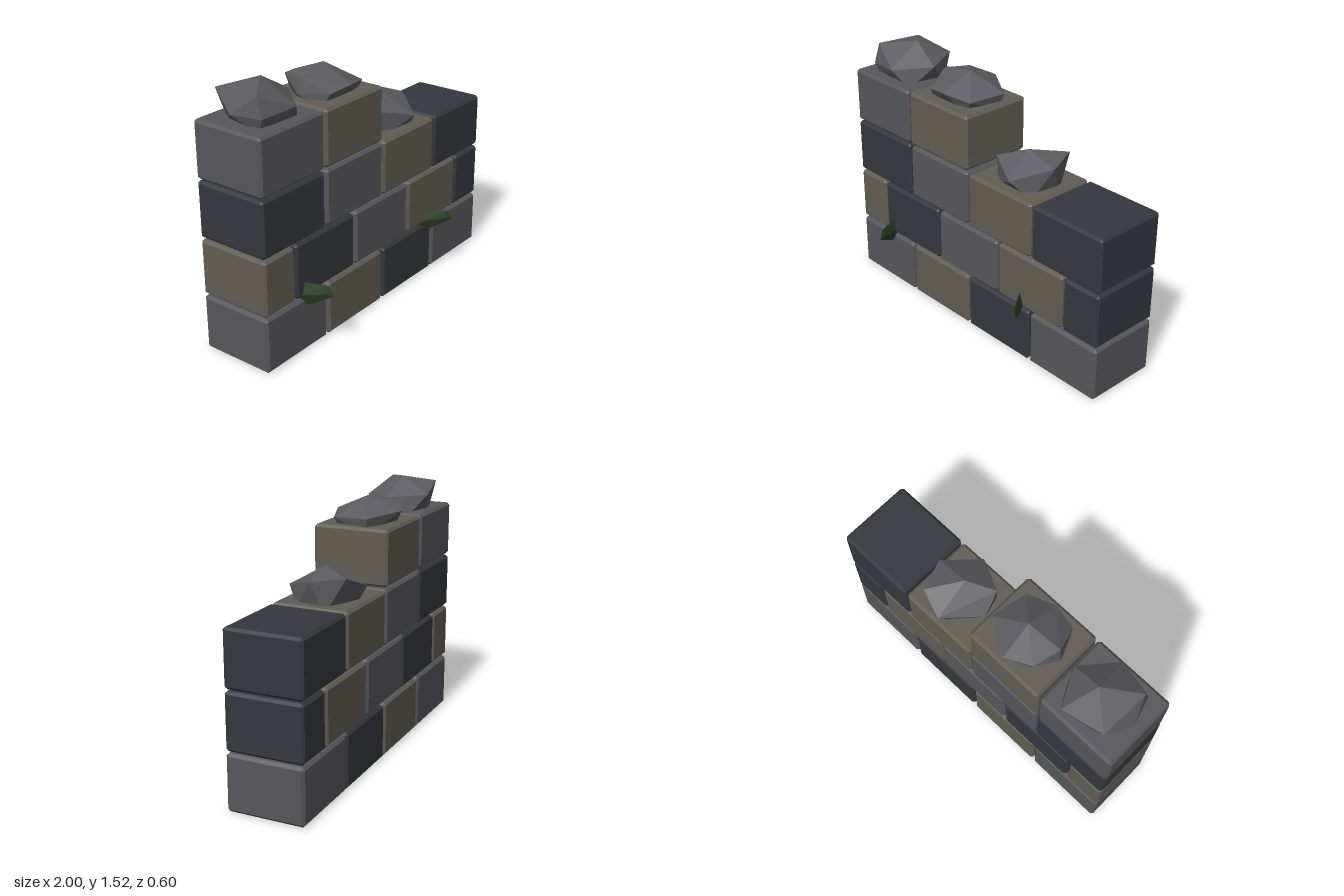
import * as THREE from 'three';
import { ConvexGeometry } from 'three/addons/geometries/ConvexGeometry.js';

const material = (color) => new THREE.MeshStandardMaterial({ color, flatShading: true });

// Convex faceted solid from a few corner points
function hull(name, points, mat) {
  const mesh = new THREE.Mesh(new ConvexGeometry(points.map((p) => new THREE.Vector3(...p))), mat);
  mesh.name = name;
  return mesh;
}

// Box with all edges chamfered: each corner is cut into three points
function chamferedBox(name, w, h, d, c, mat) {
  const points = [];
  for (const x of [-1, 1]) for (const y of [-1, 1]) for (const z of [-1, 1]) {
    for (let axis = 0; axis < 3; axis++) {
      points.push([w, h, d].map((s, i) => [x, y, z][i] * (s / 2 - (i === axis ? 0 : c))));
    }
  }
  return hull(name, points, mat);
}

export function createModel() {
  const model = new THREE.Group();
  model.name = 'ruinedWall';

  const stone = { g: material(0x57565c), b: material(0x625d53), d: material(0x36373e) };
  const rubbleMat = material(0x5a5a60);
  const leafMat = material(0x2a3d22);

  // Courses of bricks: [left edge, right edge, stone tone]
  const WALL_Z = -0.08, DEPTH = 0.45, PITCH = 0.335, HEIGHT = 0.325;
  const even = (tones) => [...tones].map((t, i) => [-1 + i * 0.503, -0.509 + i * 0.503, t]);
  const courses = [
    even('gbdg'),
    [[-1, -0.765, 'b'], [-0.755, -0.264, 'd'], [-0.252, 0.239, 'g'], [0.251, 0.742, 'b'], [0.752, 1, 'd']],
    even('dgbd'),
    even('gb'),
  ];
  courses.forEach((course, row) => {
    const group = new THREE.Group();
    group.name = `course${row + 1}`;
    for (const [x0, x1, tone] of course) {
      const brick = chamferedBox('brick', x1 - x0, HEIGHT, DEPTH, 0.015, stone[tone]);
      brick.position.set((x0 + x1) / 2, row * PITCH + HEIGHT / 2, WALL_Z);
      group.add(brick);
    }
    model.add(group);
  });

  // Rubble lumps on the broken top, sunk a little into the bricks
  const lumps = [
    [[-0.71, 1.524, -0.1], [-0.885, 1.48, -0.25], [-0.895, 1.495, 0.04], [-0.69, 1.4, 0.115], [-0.53, 1.415, -0.075],
      [-0.64, 1.43, -0.29], [-0.95, 1.385, -0.09], [-0.9, 1.38, 0.075],
      [-0.88, 1.29, 0.04], [-0.61, 1.29, 0.05], [-0.57, 1.29, -0.18], [-0.83, 1.29, -0.22]],
    [[-0.227, 1.478, -0.09], [-0.39, 1.43, -0.225], [-0.43, 1.444, -0.07], [-0.24, 1.4, -0.29], [-0.035, 1.375, -0.166],
      [-0.075, 1.365, 0.053], [-0.24, 1.39, 0.107], [-0.38, 1.37, 0.08], [-0.452, 1.355, -0.086],
      [-0.4, 1.28, 0.03], [-0.12, 1.28, 0.03], [-0.06, 1.28, -0.15], [-0.35, 1.28, -0.2]],
    [[0.265, 1.172, -0.065], [0.4, 1.145, -0.25], [0.468, 1.123, -0.064], [0.318, 1.06, 0.13], [0.115, 1.115, 0.03],
      [0.083, 1.03, -0.1], [0.243, 1.08, -0.3],
      [0.13, 0.95, 0.03], [0.4, 0.95, 0.04], [0.43, 0.95, -0.14], [0.22, 0.95, -0.22]],
  ];
  for (const points of lumps) model.add(hull('rubble', points, rubbleMat));

  // Leaves growing out of the joint between the two lowest courses
  const leafPoints = [
    [0, 0.01, 0.18], [0, 0.065, 0.15], [0, 0.072, 0.02], [0, -0.062, 0.035], [0, 0.045, -0.08],
    [0, -0.03, -0.13], [0, -0.02, -0.17], [0.022, 0, 0], [-0.022, 0, 0], [0.012, 0.02, 0.13], [-0.012, 0.02, 0.13],
  ];
  for (const [name, x, yaw] of [['rightLeaf', -0.7, 0.37], ['leftLeaf', 0.42, 0.63]]) {
    const leaf = hull(name, leafPoints, leafMat);
    leaf.position.set(x, 0.35, 0.13);
    leaf.rotation.y = yaw;
    model.add(leaf);
  }

  return model;
}
